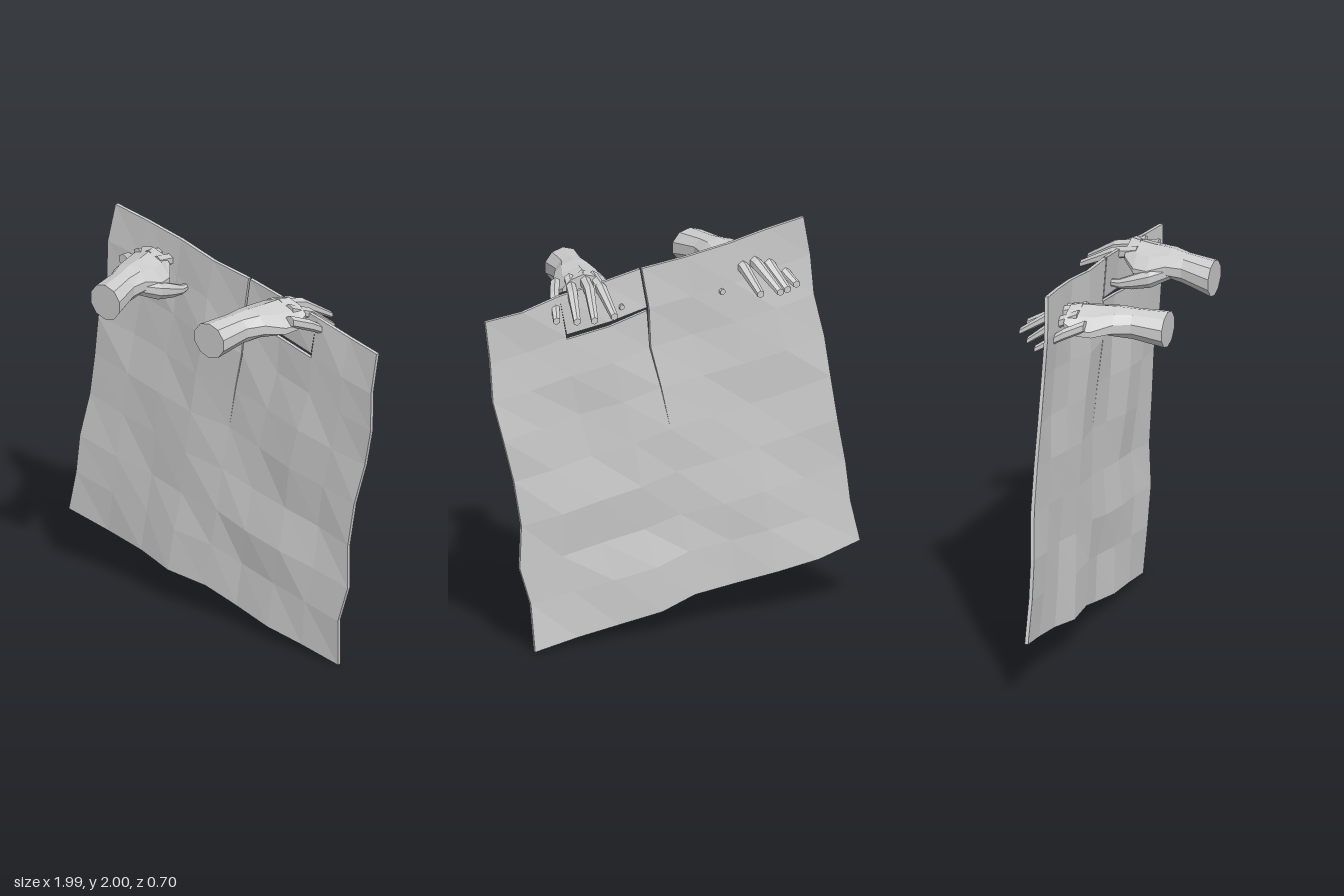
import * as THREE from 'three';

const grey = new THREE.MeshStandardMaterial({ color: 0xcccccc, flatShading: true });
grey.name = 'plain grey';

// Faceted mesh from a list of quads / triangles (arrays of [x, y, z])
function facetMesh(name, faces) {
  const pos = [];
  for (const f of faces)
    for (let k = 1; k < f.length - 1; k++) pos.push(...f[0], ...f[k], ...f[k + 1]);
  const g = new THREE.BufferGeometry();
  g.setAttribute('position', new THREE.Float32BufferAttribute(pos, 3));
  g.computeVertexNormals();
  const m = new THREE.Mesh(g, grey);
  m.name = name;
  return m;
}

// ---- Cloth: 8 x 8 panels between four wavy edges ----
const N = 8, THICK = 0.018;
const TOP = [[-.7, 2], [-.5, 1.97], [-.29, 1.93], [-.07, 1.89], [.165, 1.865], [.38, 1.825], [.6, 1.79], [.8, 1.74], [.99, 1.715]];
const BOTTOM = [[-1, .31], [-.77, .255], [-.55, .22], [-.35, .185], [-.12, .165], [.06, .11], [.28, .07], [.5, .04], [.73, 0]];
const LEFT = [[-.7, 2], [-.74, 1.8], [-.755, 1.6], [-.81, 1.38], [-.84, 1.17], [-.875, .95], [-.925, .72], [-.95, .52], [-1, .31]];
const RIGHT = [[.99, 1.715], [.96, 1.5], [.95, 1.3], [.9, 1.1], [.84, .88], [.8, .65], [.805, .43], [.745, .24], [.73, 0]];
const COLUMN_Z = [-.137, -.15, -.15, -.135, -.15, -.158, -.143, -.15, -.146];
const SEAM_GAP = [.005, .006, .003, .0015];

// Grid point blended from the four edges
function gridPoint(i, j) {
  const u = i / N, v = j / N;
  const c = [0, 1].map(k =>
    (1 - v) * TOP[i][k] + v * BOTTOM[i][k] + (1 - u) * LEFT[j][k] + u * RIGHT[j][k]
    - (1 - u) * (1 - v) * TOP[0][k] - u * (1 - v) * TOP[N][k]
    - (1 - u) * v * BOTTOM[0][k] - u * v * BOTTOM[N][k]);
  const fold = Math.exp(-((i - 5.5) ** 2) / 2);
  const bump = j === 5 ? -.012 : j === 6 ? .014 : 0;
  const z = COLUMN_Z[i] + .008 * Math.sin(i * 1.7 + j * 1.1) + .005 * Math.sin(j * 2.3 - i) + fold * bump;
  return [c[0], c[1], z];
}

// Corner of a panel, pulled back from the two slits
function corner(i, j, ci, cj) {
  const p = gridPoint(i, j);
  if (i === 4 && j < 4) p[0] += (ci < 4 ? -1 : 1) * SEAM_GAP[j];
  if (j === 1 && (ci === 4 || ci === 5)) p[1] += (cj < 1 ? 1 : -1) * (i === 4 ? .008 : .012);
  return p;
}

function buildCloth() {
  const faces = [];
  const shift = (p, d) => [p[0], p[1], p[2] + d];
  for (let i = 0; i < N; i++) for (let j = 0; j < N; j++) {
    const loop = [[i, j], [i, j + 1], [i + 1, j + 1], [i + 1, j]].map(([a, b]) => corner(a, b, i, j));
    const front = loop.map(p => shift(p, THICK / 2));
    const back = loop.map(p => shift(p, -THICK / 2));
    faces.push(front, [...back].reverse());
    // rim on the outer edges and along the slits
    const slit = i === 4 || i === 5;
    const open = [
      i === 0 || (i === 4 && j < 4),
      j === N - 1 || (j === 0 && slit),
      i === N - 1 || (i === 3 && j < 4),
      j === 0 || (j === 1 && slit),
    ];
    open.forEach((isOpen, e) => {
      const n = (e + 1) % 4;
      if (isOpen) faces.push([front[e], back[e], back[n], front[n]]);
    });
  }
  return facetMesh('cloth', faces);
}

// ---- Hands ----
// Loft of rings that run towards -z; side -1 mirrors it.
// Section: [x, y, z, half width, half height, arch]
function loft(name, sections, sides, side) {
  const rings = sections.map(([x, y, z, w, h, arch = 0]) =>
    Array.from({ length: sides }, (_, k) => {
      const a = (k + .5) / sides * Math.PI * 2;
      const dx = w * Math.cos(a);
      return [side * (x + dx), y + h * Math.sin(a) - arch * dx * dx, z];
    }));
  const faces = [rings[0], [...rings[rings.length - 1]].reverse()];
  for (let r = 0; r < rings.length - 1; r++)
    for (let k = 0; k < sides; k++) {
      const n = (k + 1) % sides;
      faces.push([rings[r][k], rings[r + 1][k], rings[r + 1][n], rings[r][n]]);
    }
  return facetMesh(name, side < 0 ? faces.map(f => [...f].reverse()) : faces);
}

const PALM = [
  [.345, 1.753, .352, .098, .09],
  [.375, 1.775, .2, .084, .076],
  [.395, 1.79, .12, .11, .07, 1],
  [.41, 1.81, .03, .15, .05, 2.5],
  [.425, 1.825, -.04, .152, .038, 3],
  [.45, 1.835, -.105, .115, .028, 3],
];
const THUMB = [
  [.34, 1.765, .14, .04, .04],
  [.295, 1.735, .05, .047, .05],
  [.272, 1.71, -.04, .03, .038],
  [.267, 1.695, -.1, .024, .026],
  [.275, 1.69, -.172, .013, .014],
];
const FINGERS = {
  indexFinger: [[.375, 1.825, -.05], [.385, 1.797, -.18], [.395, 1.715, -.345]],
  middleFinger: [[.43, 1.84, -.05], [.455, 1.805, -.19], [.5, 1.71, -.345]],
  ringFinger: [[.5, 1.83, -.05], [.53, 1.785, -.16], [.565, 1.695, -.285]],
  littleFinger: [[.55, 1.8, 0], [.595, 1.765, -.09], [.643, 1.69, -.22]],
};

function buildHand(name, side) {
  const hand = new THREE.Group();
  hand.name = name;
  hand.add(loft('palm', PALM, 10, side), loft('thumb', THUMB, 8, side));
  for (const [finger, path] of Object.entries(FINGERS))
    hand.add(loft(finger, path.map((p, k) => [...p, [.028, .028, .02][k], [.03, .03, .018][k]]), 6, side));
  return hand;
}

export function createModel() {
  const model = new THREE.Group();
  model.name = 'hands holding cloth';
  const leftHand = buildHand('leftHand', 1);
  const rightHand = buildHand('rightHand', -1);
  rightHand.position.x = .015;
  model.add(buildCloth(), leftHand, rightHand);
  return model;
}
